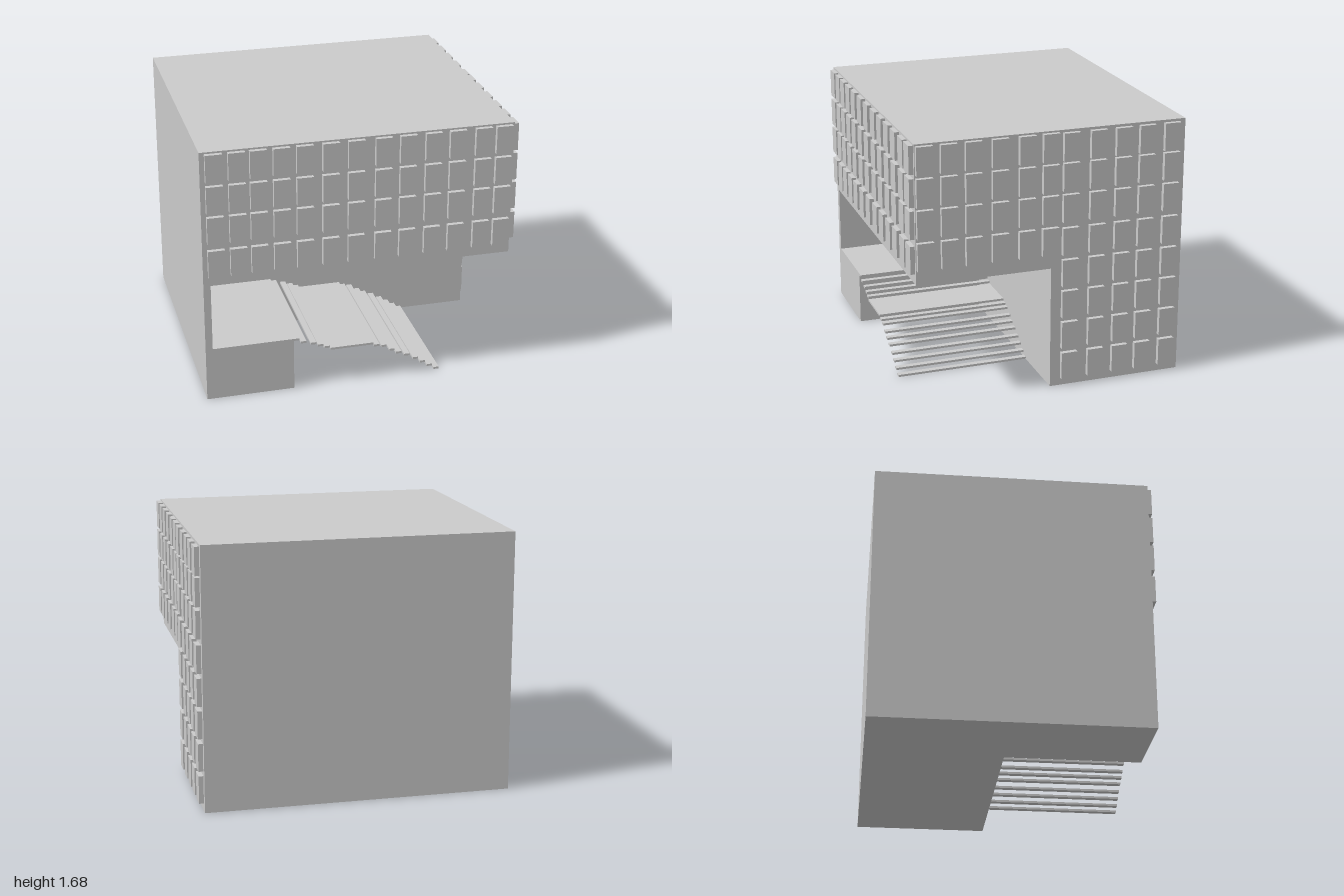
import * as THREE from 'three';

const mat = new THREE.MeshStandardMaterial({ color: 0xcccccc, flatShading: true });

// Box given by its minimum and maximum on each axis
function box(parent, name, [x0, x1], [y0, y1], [z0, z1]) {
  const mesh = new THREE.Mesh(new THREE.BoxGeometry(x1 - x0, y1 - y0, z1 - z0), mat);
  mesh.name = name;
  mesh.position.set((x0 + x1) / 2, (y0 + y1) / 2, (z0 + z1) / 2);
  parent.add(mesh);
  return mesh;
}

function group(parent, name) {
  const g = new THREE.Group();
  g.name = name;
  parent.add(g);
  return g;
}

const around = (c, size) => [c - size / 2, c + size / 2];

export function createModel() {
  const model = new THREE.Group();
  model.name = 'building';

  const L = -1, R = 0.97, BACK = -0.885, MID = -0.01, FRONT = 0.856, OUT = 0.885;
  const ROOF = 1.68, SOFFIT = 0.797, LANDING = 0.355;
  const W = 0.105, H = 0.178;

  // Main masses: full-height rear block, raised front block, side wall, entrance terrace
  box(model, 'rearBlock', [L, R], [0, ROOF], [BACK, MID]);
  box(model, 'overhangingBlock', [L, R], [SOFFIT, ROOF], [MID, FRONT]);
  box(model, 'sideWall', [L, -0.955], [LANDING, SOFFIT], [MID, FRONT]);
  box(model, 'terrace', [L, -0.437], [0, LANDING], [MID, FRONT]);

  // Front windows
  const frontWindows = group(model, 'frontWindows');
  const frontCols = [-0.917, -0.778, -0.647, -0.505, -0.361, -0.2, -0.04,
    0.131, 0.286, 0.447, 0.602, 0.767, 0.901];
  for (const y of [1.58, 1.375, 1.174, 0.953])
    for (const x of frontCols)
      box(frontWindows, 'frontWindow', around(x, W), around(y, H), [FRONT, OUT]);

  // Side windows: four storeys on the overhang, eight on the rear block
  const sideWindows = group(model, 'sideWindows');
  const addSide = (cols, rows) => {
    for (const y of rows)
      for (const z of cols)
        box(sideWindows, 'sideWindow', [R, 1], around(y, H), around(z, W));
  };
  addSide([0.799, 0.647, 0.493, 0.325, 0.154, 0.002], [1.58, 1.382, 1.185, 0.98]);
  addSide([-0.13, -0.306, -0.472, -0.628, -0.794],
    [1.575, 1.385, 1.185, 0.97, 0.762, 0.556, 0.347, 0.139]);

  // Floating staircase with a half-way landing
  const stairs = group(model, 'stairs');
  const steps = [[-0.419, 0.348], [-0.374, 0.323], [-0.31, 0.305], [-0.262, 0.286],
    [-0.222, 0.267], [0.107, 0.233], [0.155, 0.222], [0.209, 0.187], [0.254, 0.16],
    [0.31, 0.136], [0.369, 0.102], [0.417, 0.07], [0.465, 0.037], [0.511, 0.008]];
  for (const [x, y] of steps)
    box(stairs, 'step', around(x, 0.036), around(y, 0.014), [MID, FRONT]);
  box(stairs, 'halfLanding', [-0.2, 0.086], [0.243, 0.257], [MID, FRONT]);

  return model;
}
